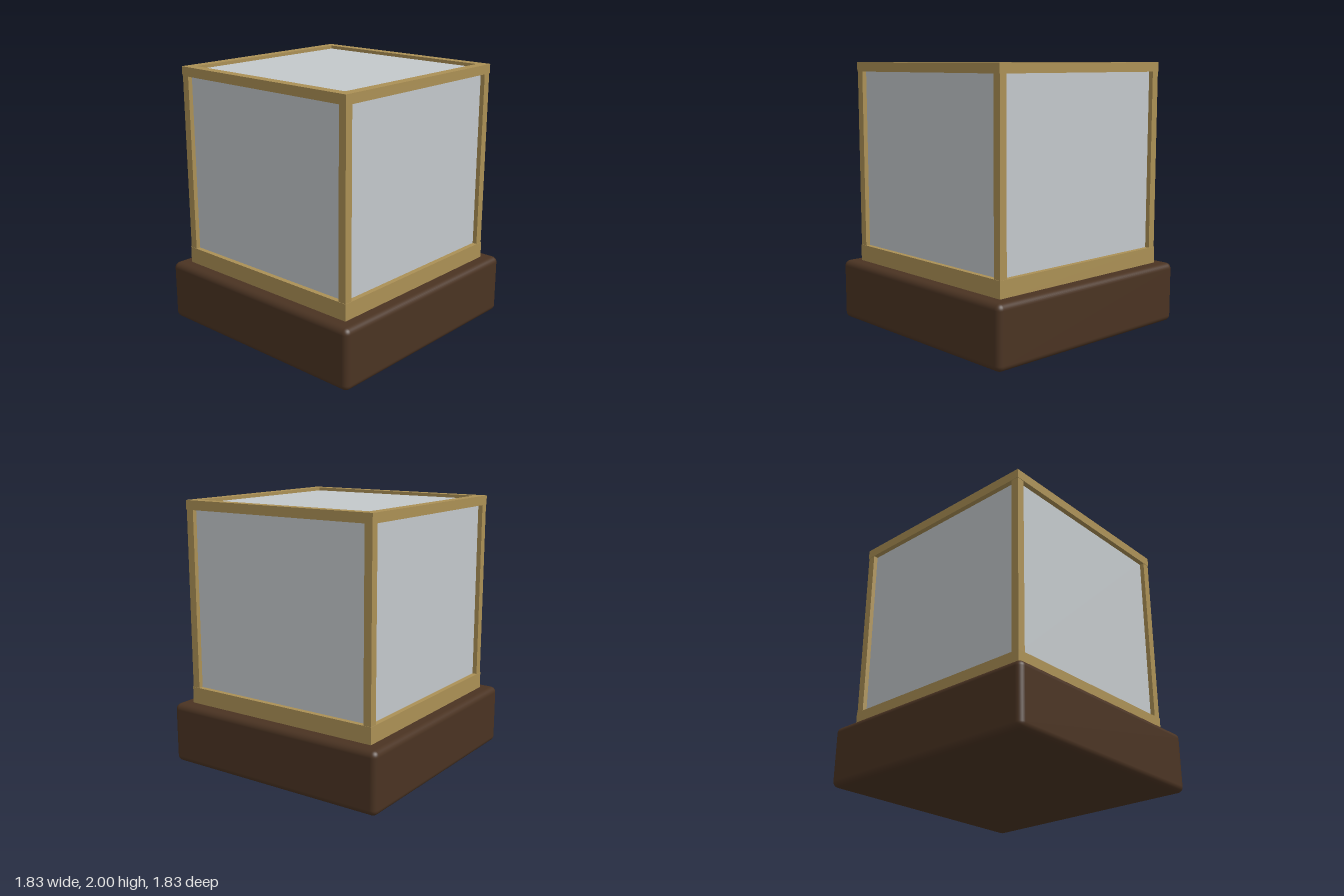
import * as THREE from 'three';
import { RoundedBoxGeometry } from 'three/addons/geometries/RoundedBoxGeometry.js';

export function createModel() {
  const group = new THREE.Group();
  const material = (name, color) => {
    const m = new THREE.MeshStandardMaterial({ color });
    m.name = name;
    return m;
  };
  const wood = material('dark wood', 0x4a3322);
  const brass = material('brass', 0xab9055);
  const glass = material('pale glass', 0xc3c8cb);

  const add = (name, geometry, mat, x, y, z) => {
    const mesh = new THREE.Mesh(geometry, mat);
    mesh.name = name;
    mesh.position.set(x, y, z);
    group.add(mesh);
    return mesh;
  };
  const box = (name, mat, w, h, d, x, y, z) =>
    add(name, new THREE.BoxGeometry(w, h, d), mat, x, y, z);

  // Wooden plinth with softened edges
  add('plinth', new RoundedBoxGeometry(1.826, 0.46, 1.826, 4, 0.045), wood, 0, 0.23, 0);

  // Brass band the case stands in
  box('lowerBand', brass, 1.616, 0.125, 1.616, 0, 0.5225, 0);

  // Glass case, set back behind the frame
  box('glassCase', glass, 1.54, 1.39, 1.54, 0, 1.28, 0);

  // Corner posts
  for (const x of [-1, 1])
    for (const z of [-1, 1])
      box('cornerPost', brass, 0.06, 1.345, 0.06, x * 0.775, 1.2575, z * 0.775);

  // Top frame, open in the middle
  const outline = (half) => [[-half, -half], [half, -half], [half, half], [-half, half]]
    .map(([x, y]) => new THREE.Vector2(x, y));
  const frame = new THREE.Shape(outline(0.808));
  frame.holes.push(new THREE.Path(outline(0.733)));
  const frameGeometry = new THREE.ExtrudeGeometry(frame, { depth: 0.07, bevelEnabled: false });
  frameGeometry.rotateX(-Math.PI / 2);
  add('topFrame', frameGeometry, brass, 0, 1.93, 0);

  return group;
}
